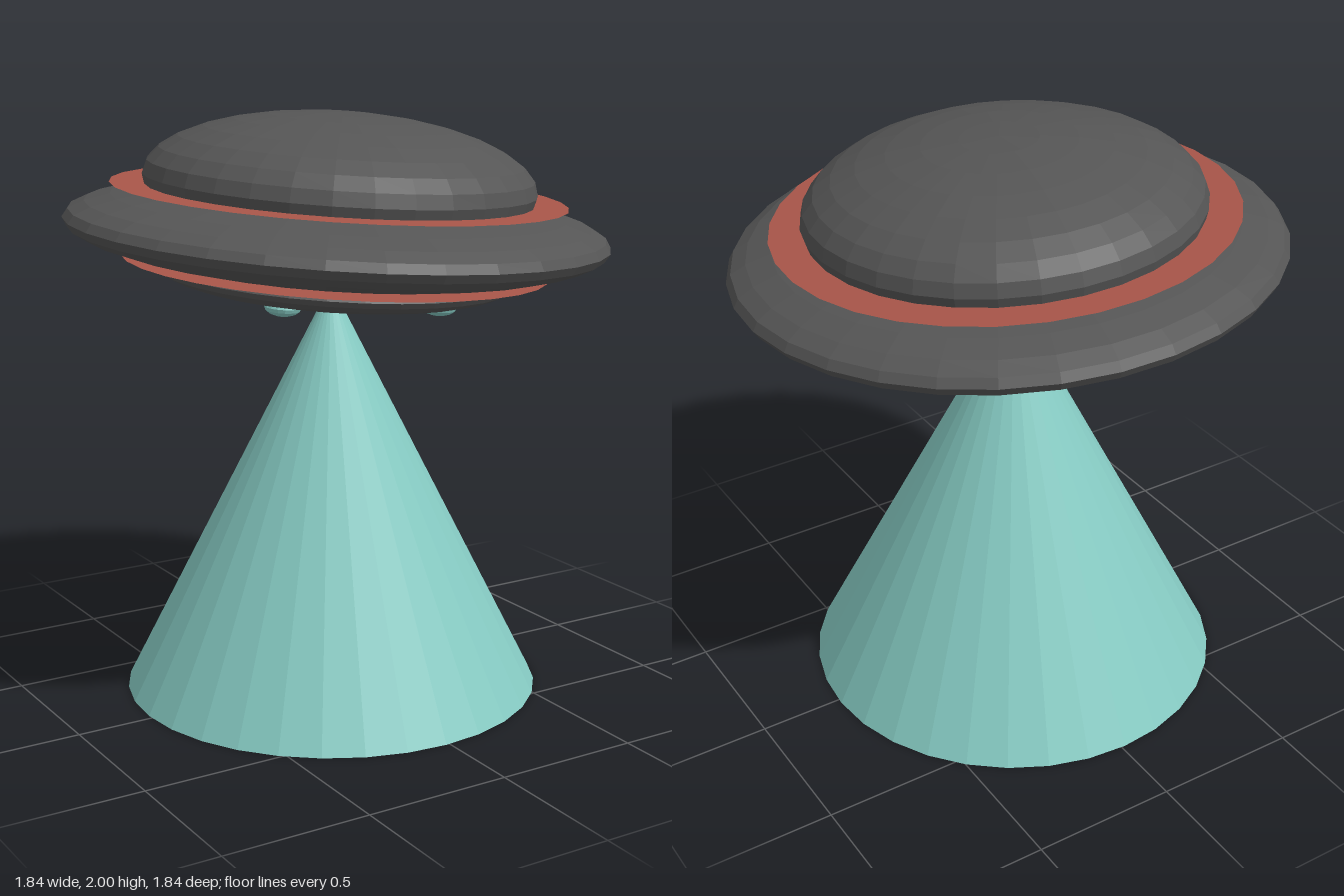
import * as THREE from 'three';

const material = (color, side = THREE.FrontSide) =>
  new THREE.MeshStandardMaterial({ color, side, flatShading: true });

export function createModel() {
  const model = new THREE.Group();
  model.name = 'flyingSaucer';
  const hullGrey = material(0x555555);
  const trimRed = material(0xa85549, THREE.DoubleSide);
  const glowTeal = material(0x86cbc3);

  // Light beam standing on the ground
  const beamHeight = 1.42;
  const beam = new THREE.Mesh(new THREE.ConeGeometry(0.722, beamHeight, 32), glowTeal);
  beam.name = 'lightBeam';
  beam.position.set(-0.013, beamHeight / 2, -0.02);
  model.add(beam);

  // Tilted craft, built around the centre of its main disc
  const craft = new THREE.Group();
  craft.name = 'craft';
  craft.position.y = 1.61;
  craft.rotation.set(0.035, 0, -0.054);
  model.add(craft);

  // Flattened sphere
  const addLens = (name, radius, halfHeight, x, y, z, mat, segments = 32) => {
    const geometry = new THREE.SphereGeometry(radius, segments, segments / 2);
    geometry.scale(1, halfHeight / radius, 1);
    const mesh = new THREE.Mesh(geometry, mat);
    mesh.name = name;
    mesh.position.set(x, y, z);
    craft.add(mesh);
  };
  addLens('mainDisc', 0.923, 0.15, 0, 0, 0, hullGrey);
  addLens('dome', 0.665, 0.235, 0, 0.155, 0, hullGrey);
  addLens('underbody', 0.61, 0.095, 0, -0.145, 0, hullGrey);

  // Flat trim rings above and below the main disc
  const addTrim = (name, outer, inner, y) => {
    const ring = new THREE.Mesh(new THREE.RingGeometry(inner, outer, 32), trimRed);
    ring.name = name;
    ring.rotation.x = -Math.PI / 2;
    ring.position.y = y;
    craft.add(ring);
  };
  addTrim('upperTrim', 0.772, 0.55, 0.122);
  addTrim('lowerTrim', 0.725, 0.5, -0.118);

  // Four lights under the hull
  for (let i = 0; i < 4; i++) {
    const angle = 0.98 + i * Math.PI / 2;
    addLens('underLight', 0.061, 0.031, 0.387 * Math.cos(angle), -0.217,
      0.387 * Math.sin(angle), glowTeal, 16);
  }

  // Thin glowing rim around the beam emitter
  const emitter = new THREE.Mesh(new THREE.TorusGeometry(0.178, 0.005, 6, 32), glowTeal);
  emitter.name = 'emitterRim';
  emitter.rotation.x = Math.PI / 2;
  emitter.position.y = -0.235;
  craft.add(emitter);

  return model;
}
